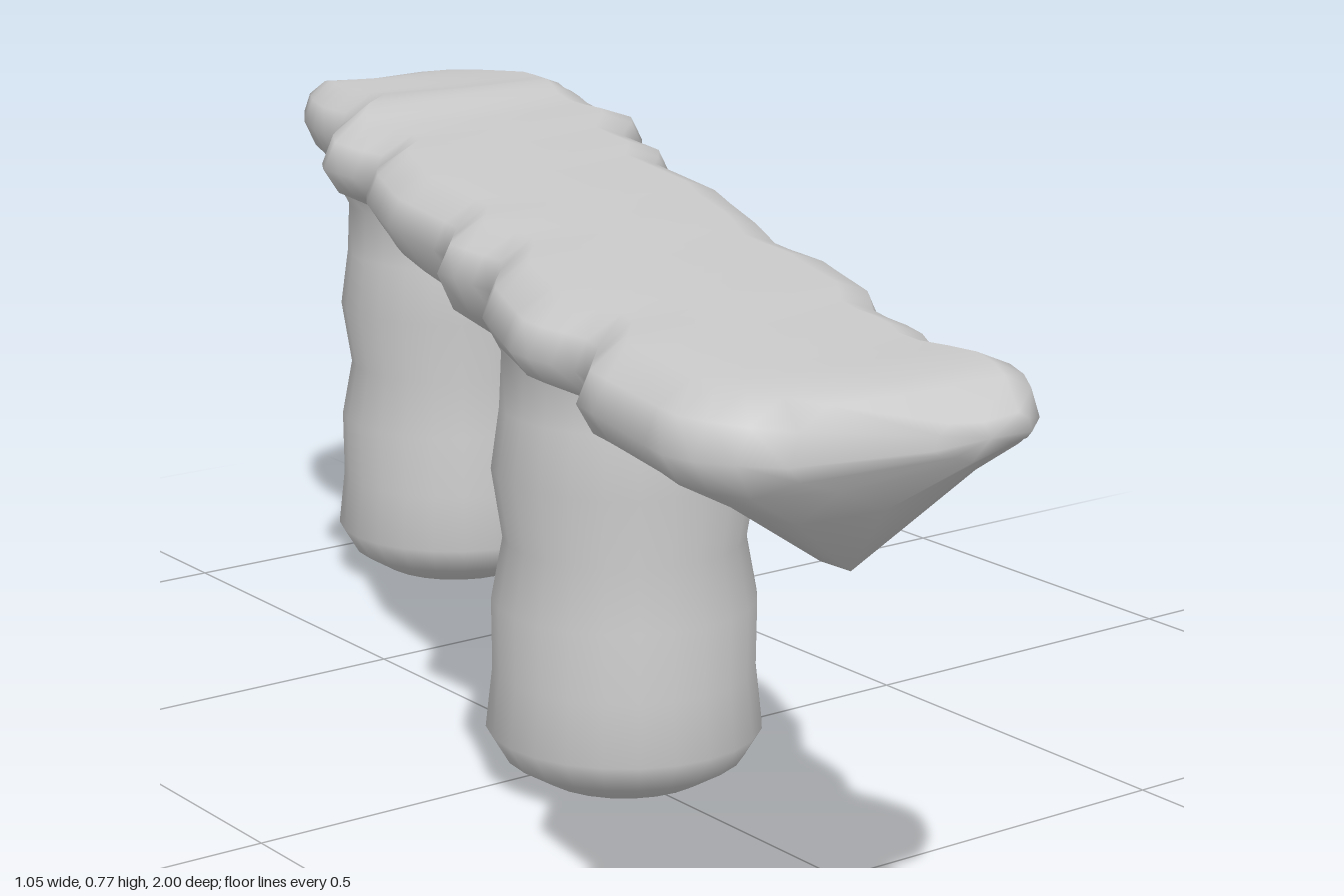
import * as THREE from 'three';

const material = new THREE.MeshStandardMaterial({ color: 0xcccccc, side: THREE.DoubleSide });

// Beam outline and underside, each as [z, value] pairs
const leftEdge = [[-0.995, 0.25], [-0.96, 0.17], [-0.88, 0.12], [-0.8, 0.09], [-0.68, 0.08], [-0.63, 0.01],
  [-0.57, -0.05], [-0.48, -0.05], [-0.42, -0.04], [-0.36, -0.11], [-0.2, -0.18], [0, -0.22], [0.07, -0.28],
  [0.19, -0.28], [0.28, -0.36], [0.45, -0.435], [0.57, -0.42], [0.66, -0.5], [0.86, -0.53], [0.95, -0.47], [0.99, -0.3]];
const rightEdge = [[-0.995, 0.34], [-0.96, 0.41], [-0.88, 0.49], [-0.8, 0.53], [-0.68, 0.465], [-0.57, 0.43],
  [-0.47, 0.435], [-0.38, 0.34], [-0.25, 0.315], [-0.19, 0.255], [0, 0.21], [0.1, 0.165], [0.2, 0.12], [0.3, 0.07],
  [0.4, 0.06], [0.55, 0], [0.63, -0.06], [0.72, -0.07], [0.79, -0.11], [0.87, -0.08], [0.94, -0.11], [0.99, -0.17]];
const underside = [[-0.995, 0.67], [-0.94, 0.62], [-0.7, 0.6], [-0.6, 0.615], [-0.4, 0.63], [-0.2, 0.615], [-0.1, 0.59],
  [0.2, 0.59], [0.26, 0.615], [0.45, 0.63], [0.7, 0.61], [0.8, 0.59], [0.86, 0.56], [0.92, 0.555], [0.96, 0.64], [0.99, 0.67]];
const topside = [[-0.995, 0.72], [-0.95, 0.745], [-0.75, 0.757], [-0.65, 0.772], [-0.54, 0.757], [0.9, 0.753], [0.96, 0.745], [0.99, 0.715]];

function sample(table, z) {
  const i = Math.max(1, table.findIndex(p => p[0] >= z - 1e-6));
  const [z0, a] = table[i - 1], [z1, b] = table[i];
  return a + (b - a) * (z - z0) / (z1 - z0);
}

// Irregular beam lofted from flat-topped rings; its front end swells into a keel
function beamGeometry() {
  const pos = [], index = [], rows = 54, zBack = -0.995, zFront = 0.99;
  let n = 0;
  for (let i = 0; i <= rows; i++) {
    const z = zBack + (zFront - zBack) * i / rows;
    const xl = sample(leftEdge, z), xr = sample(rightEdge, z);
    const top = sample(topside, z), bottom = sample(underside, z);
    const keel = THREE.MathUtils.smoothstep(z, 0.6, 0.88);
    const drop = 0.85 - 0.3 * keel, mid = 0.7 - 0.01 * keel, centre = 0.5 - 0.12 * keel;
    const ring = [
      [0, mid], [0.05, mid + (bottom - mid) * drop * 0.5], [0.2, mid + (bottom - mid) * drop],
      [centre, bottom], [0.8, mid + (bottom - mid) * drop * (1 - 0.25 * keel)],
      [0.95, mid + (bottom - mid) * drop * 0.5], [1, mid],
      [0.96, mid + (top - mid) * 0.6], [0.85, mid + (top - mid) * 0.92], [0.5, top - 0.005],
      [0.15, top], [0.04, mid + (top - mid) * 0.6]];
    n = ring.length;
    for (const [t, y] of ring) pos.push(xl + (xr - xl) * t, y, z);
  }
  for (let i = 0; i < rows; i++) for (let j = 0; j < n; j++) {
    const k = (j + 1) % n, a = i * n + j, b = i * n + k;
    index.push(a, b, b + n, a, b + n, a + n);
  }
  // Rounded end caps
  const back = pos.length / 3, front = back + 1, last = rows * n;
  pos.push(0.3, 0.695, -1, -0.235, 0.695, 1);
  for (let j = 0; j < n; j++) {
    const k = (j + 1) % n;
    index.push(back, k, j, front, last + j, last + k);
  }
  const g = new THREE.BufferGeometry();
  g.setAttribute('position', new THREE.Float32BufferAttribute(pos, 3));
  g.setIndex(index);
  g.computeVertexNormals();
  return g;
}

// Lumpy round pillar with a soft foot and a flared neck
function pillarGeometry() {
  const profile = [[0, 0.004], [0.06, 0.006], [0.11, 0.016], [0.155, 0.043], [0.177, 0.08], [0.168, 0.16], [0.169, 0.25],
    [0.154, 0.33], [0.168, 0.42], [0.157, 0.5], [0.154, 0.57], [0.175, 0.61], [0.19, 0.65], [0.16, 0.7], [0, 0.71]];
  return new THREE.LatheGeometry(profile.map(p => new THREE.Vector2(...p)), 24);
}

export function createModel() {
  const model = new THREE.Group();
  const add = (name, geometry, x = 0, z = 0) => {
    const mesh = new THREE.Mesh(geometry, material);
    mesh.name = name;
    mesh.position.set(x, 0, z);
    model.add(mesh);
  };
  add('beam', beamGeometry());
  const pillar = pillarGeometry();
  add('middlePillar', pillar, -0.005, 0.075);
  add('backPillar', pillar, 0.33, -0.807);
  return model;
}
